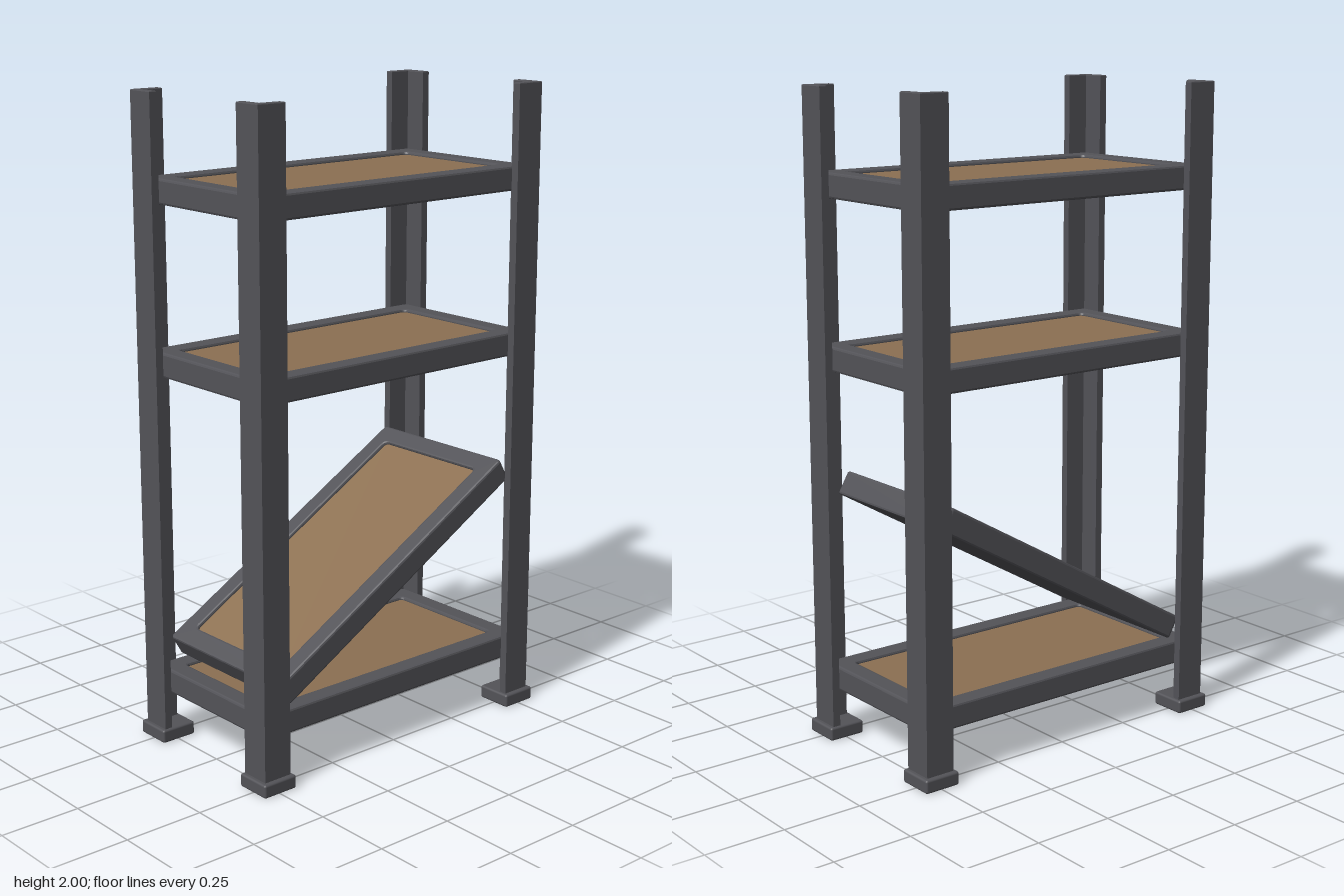
import * as THREE from 'three';
import { RoundedBoxGeometry } from 'three/addons/geometries/RoundedBoxGeometry.js';

const steel = new THREE.MeshStandardMaterial({ color: 0x535358 });
steel.name = 'dark steel';
const wood = new THREE.MeshStandardMaterial({ color: 0x8c7052 });
wood.name = 'brown board';

function mesh(name, geometry, material, x = 0, y = 0, z = 0) {
  const m = new THREE.Mesh(geometry, material);
  m.name = name;
  m.position.set(x, y, z);
  return m;
}

// Rounded rectangle centred on the origin, added to a Shape or Path
function roundedRect(path, hx, hy, r) {
  path.moveTo(-hx + r, -hy);
  path.lineTo(hx - r, -hy);
  path.absarc(hx - r, -hy + r, r, -Math.PI / 2, 0);
  path.lineTo(hx, hy - r);
  path.absarc(hx - r, hy - r, r, 0, Math.PI / 2);
  path.lineTo(-hx + r, hy);
  path.absarc(-hx + r, hy - r, r, Math.PI / 2, Math.PI);
  path.lineTo(-hx, -hy + r);
  path.absarc(-hx + r, -hy + r, r, Math.PI, Math.PI * 1.5);
  return path;
}

// Upright extrusion with softened edges that keeps the outline's size
function extrudeUp(shape, height, bevel) {
  const g = new THREE.ExtrudeGeometry(shape, {
    depth: height - 2 * bevel, bevelSize: bevel, bevelThickness: bevel,
    bevelOffset: -bevel, bevelSegments: 2, curveSegments: 4,
  });
  g.translate(0, 0, bevel);
  g.rotateX(-Math.PI / 2);
  return g;
}

const T = 0.076; // shelf thickness

function createShelf(name) {
  const shelf = new THREE.Group();
  shelf.name = name;
  const outline = roundedRect(new THREE.Shape(), 0.52, 0.27, 0.014);
  outline.holes.push(roundedRect(new THREE.Path(), 0.455, 0.208, 0.014));
  const frame = extrudeUp(outline, T, 0.007);
  frame.translate(0, -T / 2, 0);
  shelf.add(mesh('shelfFrame', frame, steel));
  // Closed steel underside and the recessed board on top of it
  shelf.add(mesh('shelfUnderside', new THREE.BoxGeometry(0.96, 0.05, 0.46), steel, 0, -T / 2 + 0.025, 0));
  shelf.add(mesh('shelfBoard', new THREE.BoxGeometry(0.916, 0.02, 0.422), wood, 0, T / 2 - 0.02, 0));
  return shelf;
}

// L-section post and foot; sx and sz choose the corner
function createPost(sx, sz) {
  const post = new THREE.Group();
  post.name = (sz > 0 ? 'front' : 'back') + (sx > 0 ? 'Left' : 'Right') + 'Post';
  const points = [[0.545, 0.295], [0.45, 0.295], [0.45, 0.27], [0.52, 0.27], [0.52, 0.2], [0.545, 0.2]];
  const section = new THREE.Shape(points.map(([x, z]) => new THREE.Vector2(sx * x, -sz * z)));
  post.add(mesh('anglePost', extrudeUp(section, 1.98, 0.003), steel, 0, 0.02, 0));
  post.add(mesh('foot', new RoundedBoxGeometry(0.118, 0.042, 0.118, 2, 0.007), steel, sx * 0.499, 0.021, sz * 0.251));
  return post;
}

export function createModel() {
  const rack = new THREE.Group();
  rack.name = 'shelvingRack';
  for (const sx of [-1, 1]) for (const sz of [-1, 1]) rack.add(createPost(sx, sz));

  // Three level shelves
  [['bottomShelf', 0.195], ['upperShelf', 1.197], ['topShelf', 1.712]].forEach(([name, y]) => {
    const shelf = createShelf(name);
    shelf.position.y = y;
    rack.add(shelf);
  });

  // Collapsed shelf leaning from one side to the other
  const tilted = createShelf('tiltedShelf');
  tilted.position.y = 0.538;
  tilted.rotation.z = Math.PI / 6;
  rack.add(tilted);
  return rack;
}
